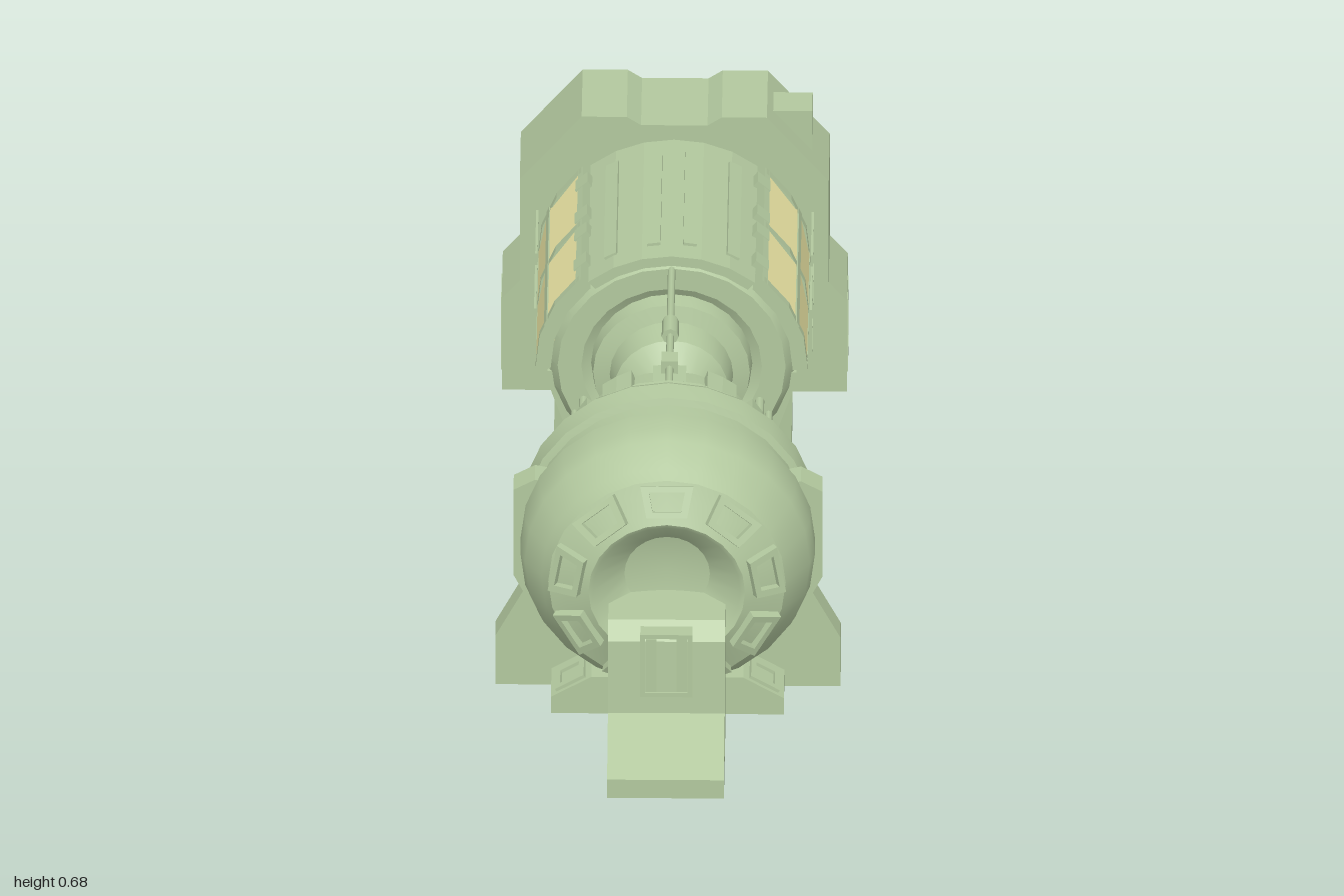
import * as THREE from 'three';
import { toCreasedNormals } from 'three/addons/utils/BufferGeometryUtils.js';

const AXIS = 0.365; // height of the machine's long axis
const rad = THREE.MathUtils.degToRad;

// Drops the faces lying on the ground, leaving a hollow shell
function openBelow(geometry) {
  const p = geometry.attributes.position;
  const kept = [];
  for (let i = 0; i < p.count; i += 3) {
    if (Math.max(p.getY(i), p.getY(i + 1), p.getY(i + 2)) < 1e-4) continue;
    for (let k = i; k < i + 3; k++) kept.push(p.getX(k), p.getY(k), p.getZ(k));
  }
  const shell = new THREE.BufferGeometry();
  shell.setAttribute('position', new THREE.Float32BufferAttribute(kept, 3));
  shell.computeVertexNormals();
  return shell;
}

export function createModel() {
  const model = new THREE.Group();
  const green = new THREE.MeshStandardMaterial({ color: 0xb2c89e, side: THREE.DoubleSide });
  const cream = new THREE.MeshStandardMaterial({ color: 0xf0eba8 });

  const add = (name, geometry, x = 0, y = 0, z = 0, parent = model, material = green) => {
    const mesh = new THREE.Mesh(geometry, material);
    mesh.name = name;
    mesh.position.set(x, y, z);
    parent.add(mesh);
    return mesh;
  };
  const box = (name, w, h, d, x, y, z) => add(name, new THREE.BoxGeometry(w, h, d), x, y, z);
  const rod = (name, r, length, x, y, z) =>
    add(name, new THREE.CylinderGeometry(r, r, length, 8).rotateX(Math.PI / 2), x, y, z);
  const shapeOf = (pts) => new THREE.Shape(pts.map(([a, b]) => new THREE.Vector2(a, b)));
  const mirrored = (half) => shapeOf([...half, ...half.map(([x, y]) => [-x, y]).reverse()]);
  const extrude = (shape, depth) => new THREE.ExtrudeGeometry(shape, { depth, bevelEnabled: false });
  // outline in x, y pushed from z0 to z1
  const plate = (name, shape, z0, z1, material) =>
    add(name, extrude(shape, z1 - z0), 0, 0, z0, model, material);
  const shell = (name, shape, z0, z1) => add(name, openBelow(extrude(shape, z1 - z0)), 0, 0, z0);
  // round part along z from [radius, z] points, back to front
  const turned = (name, pts) => {
    const g = new THREE.LatheGeometry(pts.map(([r, z]) => new THREE.Vector2(r, z)), 24);
    return add(name, toCreasedNormals(g.rotateX(Math.PI / 2), rad(28)), 0, AXIS, 0);
  };
  const arc = (r, a0, a1, steps) =>
    Array.from({ length: steps + 1 }, (_, i) => rad(a0 + ((a1 - a0) * i) / steps))
      .map((a) => [r * Math.cos(a), r * Math.sin(a)]);
  // curved slab around the axis between two radii and two angles
  const band = (name, r0, r1, a0, a1, z0, z1, steps, material) => {
    const shape = shapeOf([...arc(r1, a0, a1, steps), ...arc(r0, a1, a0, steps)]);
    plate(name, shape, z0, z1, material).position.y = AXIS;
  };
  const frameShape = (outer, inner) => {
    const s = shapeOf(outer);
    s.holes.push(shapeOf(inner));
    return s;
  };
  const rect = (w, h) => [[-w / 2, -h / 2], [w / 2, -h / 2], [w / 2, h / 2], [-w / 2, h / 2]];

  // Front drum with a recessed mouth
  turned('frontDrum', [
    [0.2, 0.3], [0.235, 0.3], [0.25, 0.32], [0.245, 0.37], [0.265, 0.4], [0.3, 0.41], [0.31, 0.43],
    [0.305, 0.48], [0.29, 0.485], [0.29, 0.54], [0.31, 0.55], [0.31, 0.61], [0.3, 0.645],
    [0.265, 0.7], [0.25, 0.725], [0.215, 0.74], [0.165, 0.765], [0.155, 0.76], [0.09, 0.69], [0, 0.67],
  ]);
  // Framed ports around the mouth
  for (let i = 0; i < 9; i++) {
    const port = new THREE.Group();
    port.name = 'port';
    port.position.y = AXIS;
    port.rotation.z = rad(i * 40);
    model.add(port);
    const frame = frameShape(
      [[-0.043, -0.033], [0.043, -0.033], [0.056, 0.034], [-0.056, 0.034]],
      [[-0.03, -0.02], [0.03, -0.02], [0.038, 0.022], [-0.038, 0.022]]
    );
    add('portFrame', extrude(frame, 0.024), 0, 0.204, 0.736, port).rotation.x = -0.48;
  }
  // Raised pads around the drum's rear shoulder
  for (let i = 0; i < 12; i++) band('shoulderPad', 0.2, 0.224, i * 30 - 9, i * 30 + 9, 0.215, 0.28, 2);

  // Stepped coupling between the drum and the cabin
  turned('coupling', [
    [0.17, -0.16], [0.165, -0.12], [0.13, -0.11], [0.12, -0.05], [0.07, -0.01], [0.06, 0.02],
    [0.085, 0.03], [0.085, 0.06], [0.06, 0.07], [0.065, 0.1], [0.115, 0.13], [0.12, 0.16], [0.15, 0.17],
    [0.16, 0.2], [0.205, 0.21], [0.215, 0.3],
  ]);

  // Rear cabin, its end collars and the neck into the rear block
  turned('rearCabin', [
    [0.235, -0.64], [0.24, -0.61], [0.262, -0.6], [0.262, -0.22], [0.265, -0.22],
    [0.262, -0.18], [0.24, -0.145], [0.19, -0.145], [0.165, -0.16],
  ]);
  band('cabinRoof', 0.25, 0.273, 50, 130, -0.61, -0.14, 6);
  for (const a of [62, 82, 98, 118]) band('roofRib', 0.265, 0.278, a - 3, a + 3, -0.56, -0.19, 1);
  for (const a of [48, 132]) {
    for (const z of [-0.22, -0.34, -0.41, -0.54]) band('roofLatch', 0.265, 0.288, a - 3, a + 4, z - 0.02, z + 0.02, 1);
  }
  // Side windows: two rows of two panes, posts, sills and guard rails
  for (const s of [1, -1]) {
    const angles = (a, b) => (s > 0 ? [a, b] : [180 - b, 180 - a]);
    for (const [z0, z1] of [[-0.365, -0.165], [-0.585, -0.385]]) {
      for (const [a, b] of [[2, 20], [24, 45]]) band('windowPane', 0.255, 0.285, ...angles(a, b), z0, z1, 1, cream);
      const guard = extrude(frameShape(rect(0.175, 0.13), rect(0.165, 0.12)), 0.005);
      add('windowGuard', guard.rotateY(Math.PI / 2), s * 0.29, 0.42, (z0 + z1) / 2);
    }
    for (const z of [-0.6, -0.385, -0.165]) band('windowPost', 0.255, 0.287, ...angles(-2, 47), z, z + 0.02, 3);
    for (const a of [-2, 20, 45]) band('windowSill', 0.255, 0.286, ...angles(a, a + 3), -0.6, -0.145, 1);
  }

  // Cradle and hollow base below the cabin
  shell('cabinBase', mirrored([[0.25, 0], [0.25, 0.07], [0.18, 0.16]]), -0.57, -0.235);
  plate('cabinCradle', mirrored([[0.19, 0.155], [0.225, 0.2], [0.262, 0.31], [0.262, 0.335]]), -0.57, -0.17);
  for (const s of [1, -1]) {
    box('baseHatch', 0.09, 0.012, 0.2, s * 0.217, 0.117, -0.39).rotation.z = -s * 0.91;
  }

  // Tie rods at three angles, each with a clamp
  for (const [x, y] of [[0, 0.6], [0.204, 0.248], [-0.204, 0.248]]) {
    rod('tieRod', 0.008, 0.52, x, y, 0.1);
    rod('rodClamp', 0.018, 0.06, x, y, 0.09);
    box('rodBracket', 0.035, 0.035, 0.04, x, y, 0.23);
  }
  for (const s of [1, -1]) rod('sideRod', 0.01, 0.4, s * 0.185, 0.28, 0.05);

  // Floor rails joining the two halves
  for (const s of [1, -1]) {
    box('floorRail', 0.035, 0.03, 0.64, s * 0.14, 0.03, 0.06);
    box('innerRail', 0.02, 0.02, 0.64, s * 0.06, 0.025, 0.06);
  }
  for (const z of [-0.16, 0.04, 0.26]) box('railTie', 0.32, 0.025, 0.05, 0, 0.02, z);

  // Upright arms hugging the front drum, and their feet
  for (const s of [1, -1]) {
    const side = (pts) => shapeOf(pts.map(([x, y]) => [s * x, y]));
    const hug = arc(0.285, 28, -62, 10).map(([x, y]) => [x, y + AXIS]);
    shell('frontArm', side([
      [0.13, 0], [0.363, 0], [0.363, 0.12], [0.305, 0.23], [0.325, 0.27], [0.325, 0.48], [0.28, 0.505], ...hug,
    ]), 0.485, 0.545);
    shell('frontFoot', side([[0.12, 0], [0.245, 0], [0.245, 0.04], [0.16, 0.09], [0.12, 0.09]]), 0.32, 0.66);
    for (const z of [0.39, 0.61]) {
      const frame = extrude(frameShape(rect(0.07, 0.08), rect(0.045, 0.05)), 0.008).rotateX(-Math.PI / 2);
      add('footFrame', frame, s * 0.2025, 0.064, z).rotation.z = -s * 0.53;
    }
  }

  // Hollow front console with a sloped step and slotted panel
  const consoleOutline = shapeOf([
    [0.68, 0], [1, 0], [1, 0.045], [0.845, 0.115], [0.835, 0.285], [0.8, 0.318], [0.68, 0.318],
  ]);
  add('frontConsole', openBelow(extrude(consoleOutline, 0.246).translate(0, 0, -0.123).rotateY(-Math.PI / 2)));
  plate('consolePanel', frameShape(
    [[-0.055, 0.155], [0.055, 0.155], [0.055, 0.308], [-0.055, 0.308]],
    [[-0.045, 0.165], [0.045, 0.165], [0.045, 0.298], [-0.045, 0.298]]
  ), 0.79, 0.846);
  for (const s of [1, -1]) box('consoleBar', 0.022, 0.13, 0.03, s * 0.032, 0.232, 0.83);

  // Hollow rear block with chamfered shoulders and wide feet
  shell('rearBlock', mirrored([
    [0.363, 0], [0.363, 0.225], [0.325, 0.27], [0.325, 0.52], [0.195, 0.675], [0.1, 0.675], [0.07, 0.655],
  ]), -0.83, -0.64);
  box('shoulderBox', 0.09, 0.1, 0.075, 0.245, 0.61, -0.73);
  for (const s of [1, -1]) {
    const frame = extrude(frameShape(
      [[-0.055, -0.085], [0.055, -0.07], [0.055, 0.085], [-0.04, 0.085]],
      [[-0.035, -0.06], [0.035, -0.05], [0.035, 0.06], [-0.025, 0.06]]
    ), 0.006);
    add('footHatch', frame.rotateY(Math.PI / 2), s * 0.362 - 0.003, 0.11, -0.735);
  }
  // Back door with raised rails
  box('backDoor', 0.28, 0.19, 0.012, 0.035, 0.465, -0.833);
  for (const x of [-0.09, 0.16]) {
    box('doorRail', 0.012, 0.19, 0.01, x, 0.465, -0.86);
    for (const y of [0.38, 0.55]) box('railStub', 0.012, 0.014, 0.035, x, y, -0.848);
  }

  // Tapered housing behind the rear block, built from stacked outlines
  const outline = (w, z, c) => [[w, -0.83], [w, z + c], [w - c, z], [c - w, z], [-w, z + c], [-w, -0.83]];
  const rings = [[0, 0.19, -1, 0.07], [0.2, 0.2, -1, 0.07], [0.285, 0.16, -0.85, 0.015]]
    .map(([y, w, z, c]) => outline(w, z, c).map(([x, d]) => [x, y, d]));
  const pos = [];
  const tri = (a, b, c) => pos.push(...a, ...b, ...c);
  for (let r = 0; r < 2; r++) {
    for (let i = 0; i < 5; i++) {
      const [a, b, c, d] = [rings[r][i], rings[r][i + 1], rings[r + 1][i + 1], rings[r + 1][i]];
      tri(a, b, c);
      tri(a, c, d);
    }
  }
  for (let i = 1; i < 5; i++) tri(rings[2][0], rings[2][i], rings[2][i + 1]);
  const housing = new THREE.BufferGeometry();
  housing.setAttribute('position', new THREE.Float32BufferAttribute(pos, 3));
  housing.computeVertexNormals();
  add('rearHousing', housing);
  box('housingHandle', 0.14, 0.03, 0.05, 0.01, 0.255, -0.9);

  return model;
}
